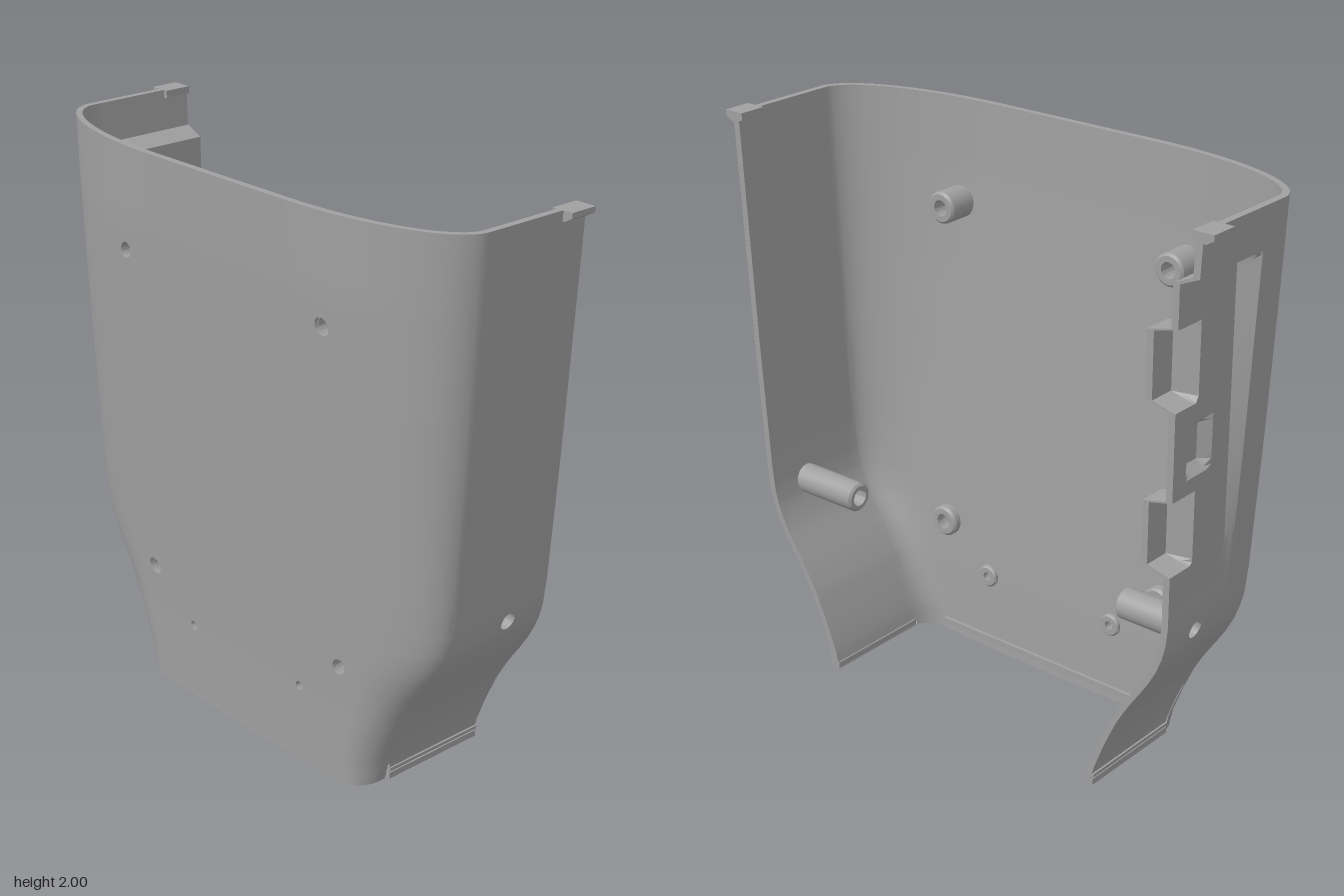
import * as THREE from 'three';
import { toCreasedNormals } from 'three/addons/utils/BufferGeometryUtils.js';

const T = 0.024;      // wall thickness
const XC = -0.09;     // where the rounded corner meets the straight side
const XE = 0.315;     // open edge
const Y0 = 0.03, Y1 = 2;

// Linear interpolation through [y, value] pairs
const table = pts => y => {
  let i = 1;
  while (i < pts.length - 1 && y > pts[i][0]) i++;
  const [a, va] = pts[i - 1], [b, vb] = pts[i];
  return THREE.MathUtils.lerp(va, vb, THREE.MathUtils.clamp((y - a) / (b - a), 0, 1));
};
const halfWidth = table([[0.03, 0.575], [0.1, 0.592], [0.2, 0.63], [0.3, 0.675], [0.38, 0.72], [0.45, 0.768],
  [0.52, 0.812], [0.58, 0.84], [0.65, 0.858], [0.75, 0.869], [1.2, 0.898], [2, 0.94]]);
const backX = table([[0.03, -0.2], [0.3, -0.21], [0.6, -0.228], [1, -0.262], [1.4, -0.292], [1.75, -0.313], [2, -0.32]]);
const cornerDepth = table([[0.03, 0.1], [0.3, 0.15], [0.65, 0.3], [1.2, 0.45], [2, 0.62]]);

// Recesses pressed into the right side wall: x0, x1, y0, y1, outer z, ramp width
const recesses = [
  [0.0, 9, 0.72, 1.86, 0.865, 0.03],
  [0.2, 9, 1.43, 1.69, 0.78, 0.02],
  [0.2, 9, 0.89, 1.14, 0.78, 0.02],
  [0.12, 0.25, 1.19, 1.37, 0.83, 0.03],
];
const ramp = (v, a, b, w) => THREE.MathUtils.clamp(Math.min(v - a, b - v) / w, 0, 1);

// Shell point: s runs -3..3 around the U section (|s|<1 back, 1..2 corner, 2..3 side)
function shellPoint(s, y, inset = 0) {
  const a = Math.abs(s), rz = cornerDepth(y), zf = halfWidth(y) - rz, xb = backX(y);
  let x, z;
  if (a <= 1) { x = xb + inset; z = zf * a; }
  else if (a <= 2) {
    const t = (a - 1) * Math.PI / 2;
    x = XC - (XC - xb - inset) * Math.cos(t);
    z = zf + (rz - inset) * Math.sin(t);
  } else {
    x = XC + (XE - XC) * (a - 2);
    z = halfWidth(y) - inset;
    if (s < 0) for (const [x0, x1, ya, yb, d, w] of recesses) {
      z = THREE.MathUtils.lerp(z, Math.min(z, d - inset), ramp(x, x0, x1, w) * ramp(y, ya, yb, w));
    }
  }
  // lower edge of the back dips towards the middle
  const dip = 0.03 * Math.max(0, 1 - (s / 1.9) ** 2) * THREE.MathUtils.clamp((0.08 - y) / 0.05, 0, 1);
  return new THREE.Vector3(x, y - dip, Math.sign(s) * z);
}

// s value at which the back reaches a given z
function sAtZ(z, y) {
  let lo = 0, hi = 2;
  for (let i = 0; i < 40; i++) {
    const m = (lo + hi) / 2;
    if (shellPoint(m, y).z < z) lo = m; else hi = m;
  }
  return lo;
}
const sAtX = x => 2 + (x - XC) / (XE - XC);

// Screw bosses on the back: z, y, outer radius, hole radius, tip x
const bosses = [[0.475, 1.64, 0.056, 0.028, -0.175], [0.475, 0.455, 0.056, 0.028, -0.165], [0.275, 0.295, 0.04, 0.016, -0.172]];
const post = { x: 0.155, y: 0.64, r: 0.052, hole: 0.03, tip: 0.578 };

function shellGeometry() {
  const holes = [];
  for (const m of [-1, 1]) {
    for (const [z, y, , r] of bosses) {
      const s = sAtZ(z, y);
      holes.push({ s: m * s, y, rs: (sAtZ(z + r, y) - sAtZ(z - r, y)) / 2, r });
    }
    holes.push({ s: m * sAtX(post.x), y: post.y, rs: post.hole / (XE - XC), r: post.hole });
  }
  const K = 1.35;
  // grid lines, including those that frame the holes and recesses
  const S = [], Y = [Y0, 0.08, 0.24];
  for (let i = -36; i <= 36; i++) S.push(i / 12);
  for (let y = 0.1; y < 2.001; y += 0.05) Y.push(y);
  S.push(1.95, -1.95);
  for (const h of holes) {
    S.push(h.s - K * h.rs, h.s + K * h.rs);
    Y.push(h.y - K * h.r, h.y + K * h.r);
  }
  for (const [x0, x1, ya, yb, , w] of recesses) {
    for (const x of [x0, x0 + w, x1 - w, x1]) if (x < XE) S.push(-sAtX(x));
    Y.push(ya, ya + w, yb - w, yb);
  }
  const tidy = list => list.sort((a, b) => a - b).filter((v, i, l) => !i || v - l[i - 1] > 1e-5);
  const ss = tidy(S), ys = tidy(Y);
  const pos = [];
  const quad = (a, b, c, d) => { for (const p of [a, b, c, a, c, d]) pos.push(p.x, p.y, p.z); };
  const both = (a, b, c, d) => {
    quad(...[a, b, c, d].map(p => shellPoint(p[0], p[1])));
    quad(...[d, c, b, a].map(p => shellPoint(p[0], p[1], T)));
  };
  const rim = (a, b) => quad(shellPoint(...b), shellPoint(...a), shellPoint(...a, T), shellPoint(...b, T));
  const slit = s => Math.abs(s) > 1.95 && Math.abs(s) < 2;

  for (let i = 0; i < ss.length - 1; i++) {
    const s0 = ss[i], s1 = ss[i + 1], sm = (s0 + s1) / 2;
    for (let j = 0; j < ys.length - 1; j++) {
      const y0 = ys[j], y1 = ys[j + 1], ym = (y0 + y1) / 2;
      if (slit(sm) && ym < 0.24) continue;
      if (holes.some(h => Math.abs(sm - h.s) < K * h.rs && Math.abs(ym - h.y) < K * h.r)) continue;
      both([s0, y0], [s1, y0], [s1, y1], [s0, y1]);
    }
    if (!slit(sm)) rim([s0, Y0], [s1, Y0]);
    rim([s1, Y1], [s0, Y1]);
  }
  for (let j = 0; j < ys.length - 1; j++) {
    rim([3, ys[j]], [3, ys[j + 1]]);
    rim([-3, ys[j + 1]], [-3, ys[j]]);
  }
  // round holes set into their square frames
  const N = 24;
  for (const h of holes) for (let i = 0; i < N; i++) {
    const at = (k, square) => {
      const t = k / N * Math.PI * 2, c = Math.cos(t), d = Math.sin(t);
      const f = square ? K / Math.max(Math.abs(c), Math.abs(d)) : 1;
      return [h.s + h.rs * c * f, h.y + h.r * d * f];
    };
    both(at(i, true), at(i + 1, true), at(i + 1), at(i));
    rim(at(i + 1), at(i));
  }
  const g = new THREE.BufferGeometry();
  g.setAttribute('position', new THREE.Float32BufferAttribute(pos, 3));
  return toCreasedNormals(g, 0.5);
}

// Hollow round post standing along +y
function tubeGeometry(rOut, rIn, h) {
  const c = Math.min(0.008, h / 4);
  const p = [[rIn, 0], [rOut, 0], [rOut, h - c], [rOut - c, h], [rIn, h], [rIn, 0]];
  return toCreasedNormals(new THREE.LatheGeometry(p.map(q => new THREE.Vector2(...q)), 28), 0.5);
}

export function createModel() {
  const model = new THREE.Group();
  model.name = 'coverShell';
  const grey = new THREE.MeshStandardMaterial({ color: 0xa0a0a0, side: THREE.DoubleSide });
  grey.name = 'plainGrey';
  const add = (name, geometry, x = 0, y = 0, z = 0) => {
    const mesh = new THREE.Mesh(geometry, grey);
    mesh.name = name;
    mesh.position.set(x, y, z);
    model.add(mesh);
    return mesh;
  };
  add('shell', shellGeometry());

  for (const m of [-1, 1]) {
    // screw bosses on the back
    for (const [z, y, r, hole, tip] of bosses) {
      const x = shellPoint(sAtZ(z, y), y, T * 0.6).x;
      add('screwBoss', tubeGeometry(r, hole, tip - x), x, y, m * z).rotation.z = -Math.PI / 2;
    }
    // long posts on the sides
    const zw = halfWidth(post.y) - T * 0.6;
    add('sidePost', tubeGeometry(post.r, post.hole, zw - post.tip), post.x, post.y, m * zw).rotation.x = -m * Math.PI / 2;

    // hooked clip at the top of each open edge
    const clip = new THREE.Shape([[0.9, 1.975], [0.945, 1.965], [0.975, 1.982], [0.975, 2], [0.9, 2]]
      .map(([z, y]) => new THREE.Vector2(-m * z, y)));
    add('topClip', new THREE.ExtrudeGeometry(clip, { depth: 0.1, bevelEnabled: false }), XE - 0.1).rotation.y = Math.PI / 2;

    // rail along the lower edge of each side
    add('lowerRail', new THREE.BoxGeometry(XE - XC, 0.022, 0.036), (XE + XC) / 2, 0.043, m * 0.57);
    add('lowerBead', new THREE.BoxGeometry(XE - XC, 0.012, 0.02), (XE + XC) / 2, 0.068, m * 0.582);
  }
  // lip along the inner lower edge of the back
  add('backLip', new THREE.BoxGeometry(0.024, 0.022, 0.96), -0.178, 0.045, 0);
  return model;
}
